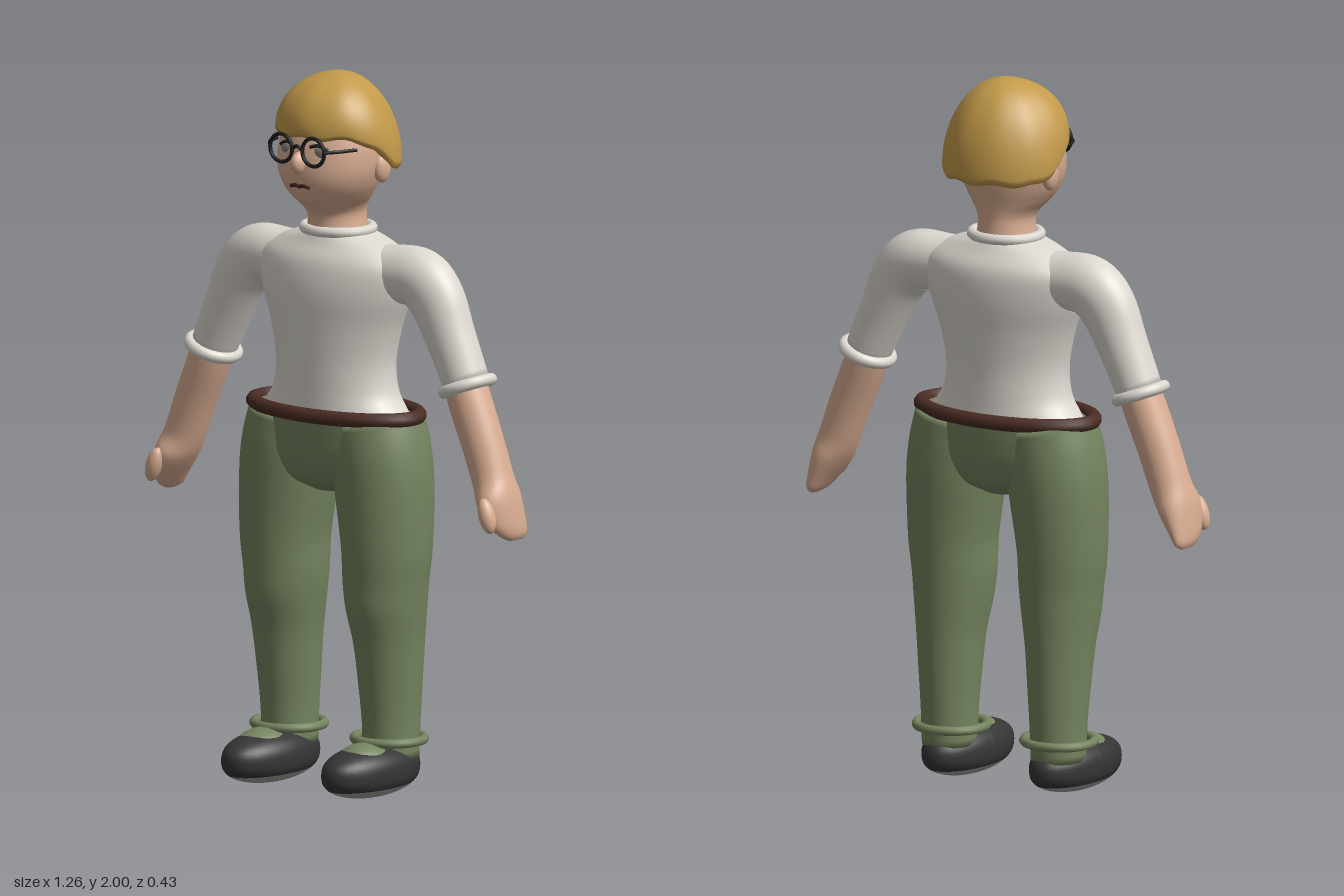
import * as THREE from 'three';
import { mergeVertices } from 'three/addons/utils/BufferGeometryUtils.js';

const mat = (name, color) => Object.assign(new THREE.MeshStandardMaterial({ color }), { name });

// Smooth closed body through cross-sections [x, y, halfWidth, zFront, zBack]
function loft(rows, s = 1, seg = 36, sub = 5) {
  const path = new THREE.CatmullRomCurve3(
    rows.map(([x, y, , f, b]) => new THREE.Vector3(x * s, y, (f + b) / 2)), false, 'catmullrom');
  const size = new THREE.CatmullRomCurve3(
    rows.map(([, , r, f, b]) => new THREE.Vector3(r, (f - b) / 2, 0)), false, 'catmullrom');
  const n = (rows.length - 1) * sub, pos = [], idx = [];
  for (let i = 0; i <= n; i++) {
    const c = path.getPoint(i / n), r = size.getPoint(i / n);
    const t = path.getTangent(i / n).setZ(0).normalize();
    for (let j = 0; j < seg; j++) {
      const a = (j / seg) * Math.PI * 2, u = Math.cos(a) * r.x;
      pos.push(c.x + t.y * u, c.y - t.x * u, c.z + Math.sin(a) * r.y);
      const k = i * seg + j, l = i * seg + ((j + 1) % seg);
      if (i < n) idx.push(k, k + seg, l, l, k + seg, l + seg);
    }
  }
  // End caps
  const first = path.getPoint(0), last = path.getPoint(1), p = pos.length / 3;
  pos.push(...first.toArray(), ...last.toArray());
  for (let j = 0; j < seg; j++) {
    const l = (j + 1) % seg;
    idx.push(p, j, l, p + 1, n * seg + l, n * seg + j);
  }
  const g = new THREE.BufferGeometry();
  g.setAttribute('position', new THREE.Float32BufferAttribute(pos, 3));
  g.setIndex(idx);
  g.computeVertexNormals();
  return g;
}

// Rolled elliptical band lying flat
function band(rx, rz, tube) {
  const pts = Array.from({ length: 32 }, (_, i) => {
    const a = (i / 32) * Math.PI * 2;
    return new THREE.Vector3(Math.cos(a) * rx, 0, Math.sin(a) * rz);
  });
  return new THREE.TubeGeometry(new THREE.CatmullRomCurve3(pts, true), 64, tube, 10, true);
}

const wire = (pts, r) => new THREE.TubeGeometry(
  new THREE.CatmullRomCurve3(pts.map(p => new THREE.Vector3(...p))), 12, r, 8);

const blob = (rx, ry, rz) => new THREE.SphereGeometry(1, 24, 16).scale(rx, ry, rz);

// Section of a rounded shoe between two polar angles
function shoePart(from, to) {
  const g = new THREE.SphereGeometry(1, 36, 20, 0, Math.PI * 2, from, to - from);
  const p = g.attributes.position;
  for (let i = 0; i < p.count; i++) {
    const y = p.getY(i);
    p.setY(i, Math.sign(y) * Math.abs(y) ** 0.8);
  }
  g.scale(0.093, 0.073, 0.183);
  g.computeVertexNormals();
  return g;
}

// Bowl-cut hair: a dome whose rim drops from fringe to nape
function hairCap() {
  const prof = [[0.78, 0.06], [0.86, -0.06], [0.95, -0.08], [0.99, -0.03]];
  for (let i = 0; i <= 16; i++) {
    const a = (i / 16) * Math.PI / 2;
    prof.push([Math.cos(a), Math.sin(a)]);
  }
  let g = new THREE.LatheGeometry(prof.map(([r, h]) => new THREE.Vector2(Math.max(r, 0), h)), 64);
  const p = g.attributes.position;
  for (let i = 0; i < p.count; i++) {
    const x = p.getX(i), h = p.getY(i), z = p.getZ(i);
    const phi = Math.abs(Math.atan2(x, z));
    const rim = 1.845 - 0.095 * THREE.MathUtils.smoothstep(phi, 0.8, 2.1) + 0.004 * Math.cos(phi * 9);
    p.setXYZ(i, x * 0.178, rim + (2 - rim) * h, z * 0.17 - 0.045);
  }
  g.deleteAttribute('uv');
  g.deleteAttribute('normal');
  g = mergeVertices(g, 1e-5);
  g.computeVertexNormals();
  return g;
}

export function createModel() {
  const model = new THREE.Group();
  const skin = mat('skin', 0xd9ad92), shirt = mat('shirt', 0xdcd7cf), green = mat('trousers', 0x75845f);
  const hair = mat('hair', 0xc39a4a), leather = mat('belt leather', 0x4a2c24), shoe = mat('shoe', 0x353535);
  const sole = mat('sole', 0xa5a29c), dark = mat('frame', 0x1e1e1e), eye = mat('eye', 0x85807a);
  const lip = mat('mouth', 0x43241f);

  const add = (name, geo, material, x = 0, y = 0, z = 0, rz = 0) => {
    const m = new THREE.Mesh(geo, material);
    m.name = name;
    m.position.set(x, y, z);
    m.rotation.z = rz;
    model.add(m);
    return m;
  };

  // Head and neck
  add('head', loft([
    [0, 1.54, 0.085, 0.05, -0.13], [0, 1.6, 0.076, 0.05, -0.128], [0, 1.63, 0.085, 0.07, -0.13],
    [0, 1.66, 0.11, 0.102, -0.135], [0, 1.7, 0.136, 0.125, -0.145], [0, 1.75, 0.152, 0.13, -0.155],
    [0, 1.82, 0.153, 0.116, -0.165], [0, 1.88, 0.13, 0.09, -0.16], [0, 1.93, 0.08, 0.04, -0.12]]), skin);
  add('hair', hairCap(), hair);
  add('nose', blob(0.021, 0.032, 0.03), skin, 0, 1.765, 0.126);
  add('mouth', wire([[-0.034, 1.698, 0.119], [-0.012, 1.703, 0.124], [0, 1.7, 0.125],
    [0.012, 1.703, 0.124], [0.034, 1.698, 0.119]], 0.006), lip);
  add('glassesBridge', wire([[-0.018, 1.805, 0.135], [0, 1.815, 0.137], [0.018, 1.805, 0.135]], 0.005), dark);

  // Torso, collar, pelvis and belt
  add('shirtBody', loft([
    [0, 1.04, 0.25, 0.1, -0.175], [0, 1.07, 0.225, 0.1, -0.172], [0, 1.12, 0.193, 0.1, -0.17],
    [0, 1.2, 0.184, 0.102, -0.17], [0, 1.3, 0.206, 0.105, -0.178], [0, 1.4, 0.243, 0.106, -0.188],
    [0, 1.48, 0.25, 0.09, -0.182], [0, 1.53, 0.18, 0.06, -0.15], [0, 1.56, 0.09, 0.045, -0.13]]), shirt);
  add('collar', band(0.096, 0.09, 0.015), shirt, 0, 1.562, -0.043);
  add('hips', loft([
    [0, 1.06, 0.268, 0.105, -0.178], [0, 0.99, 0.29, 0.102, -0.176], [0, 0.93, 0.28, 0.098, -0.17],
    [0, 0.87, 0.17, 0.08, -0.15], [0, 0.835, 0.06, 0.03, -0.1]]), green);
  add('belt', band(0.27, 0.145, 0.021), leather, 0, 1.058, -0.035);

  for (const s of [1, -1]) {
    // Face details
    add('ear', blob(0.02, 0.042, 0.03), skin, s * 0.15, 1.745, -0.05);
    add('eye', blob(0.022, 0.016, 0.008), eye, s * 0.056, 1.798, 0.108);
    add('eyelid', wire([[s * 0.03, 1.812, 0.115], [s * 0.056, 1.818, 0.112], [s * 0.084, 1.806, 0.102]], 0.005), dark);
    add('glassesRim', new THREE.TorusGeometry(0.039, 0.0055, 8, 36), dark, s * 0.057, 1.803, 0.135);
    add('glassesTemple', wire([[s * 0.096, 1.806, 0.134], [s * 0.122, 1.808, 0.105], [s * 0.142, 1.808, 0.05]], 0.005), dark);

    // Arm
    add('sleeve', loft([
      [0.1, 1.45, 0.08, 0.03, -0.13], [0.2, 1.455, 0.08, 0.03, -0.13], [0.285, 1.45, 0.085, 0.025, -0.13],
      [0.342, 1.4, 0.083, 0.02, -0.125], [0.392, 1.3, 0.072, 0.015, -0.12], [0.452, 1.17, 0.064, 0.012, -0.118]], s), shirt);
    add('sleeveCuff', band(0.066, 0.07, 0.017), shirt, s * 0.452, 1.17, -0.053, s * 0.37);
    add('forearmAndHand', loft([
      [0.43, 1.22, 0.055, 0.005, -0.11], [0.46, 1.14, 0.06, 0.012, -0.11], [0.51, 1.02, 0.059, 0.012, -0.108],
      [0.548, 0.92, 0.056, 0.015, -0.11], [0.573, 0.865, 0.05, 0.035, -0.12], [0.598, 0.805, 0.033, 0.02, -0.118],
      [0.61, 0.772, 0.021, -0.01, -0.113], [0.615, 0.757, 0.008, -0.04, -0.095]], s), skin);
    add('thumb', blob(0.023, 0.05, 0.024), skin, s * 0.592, 0.835, 0.034, s * 0.3);

    // Leg
    add('trouserLeg', loft([
      [0.145, 1.04, 0.13, 0.09, -0.168], [0.16, 0.95, 0.138, 0.1, -0.174], [0.17, 0.85, 0.138, 0.1, -0.174],
      [0.18, 0.7, 0.125, 0.096, -0.165], [0.177, 0.6, 0.117, 0.09, -0.158], [0.178, 0.52, 0.108, 0.085, -0.155],
      [0.18, 0.42, 0.094, 0.062, -0.15], [0.18, 0.3, 0.084, 0.045, -0.145], [0.18, 0.2, 0.077, 0.034, -0.14],
      [0.18, 0.1, 0.075, 0.03, -0.135]], s), green);
    add('trouserCuff', band(0.098, 0.096, 0.013), green, s * 0.178, 0.152, -0.047);
    add('shoeTongue', blob(0.068, 0.045, 0.088), green, s * 0.18, 0.109, 0.06);
    add('shoeUpper', shoePart(0, 2.08), shoe, s * 0.178, 0.073, 0.033);
    add('shoeSole', shoePart(2.08, Math.PI), sole, s * 0.178, 0.073, 0.033);
  }
  return model;
}
